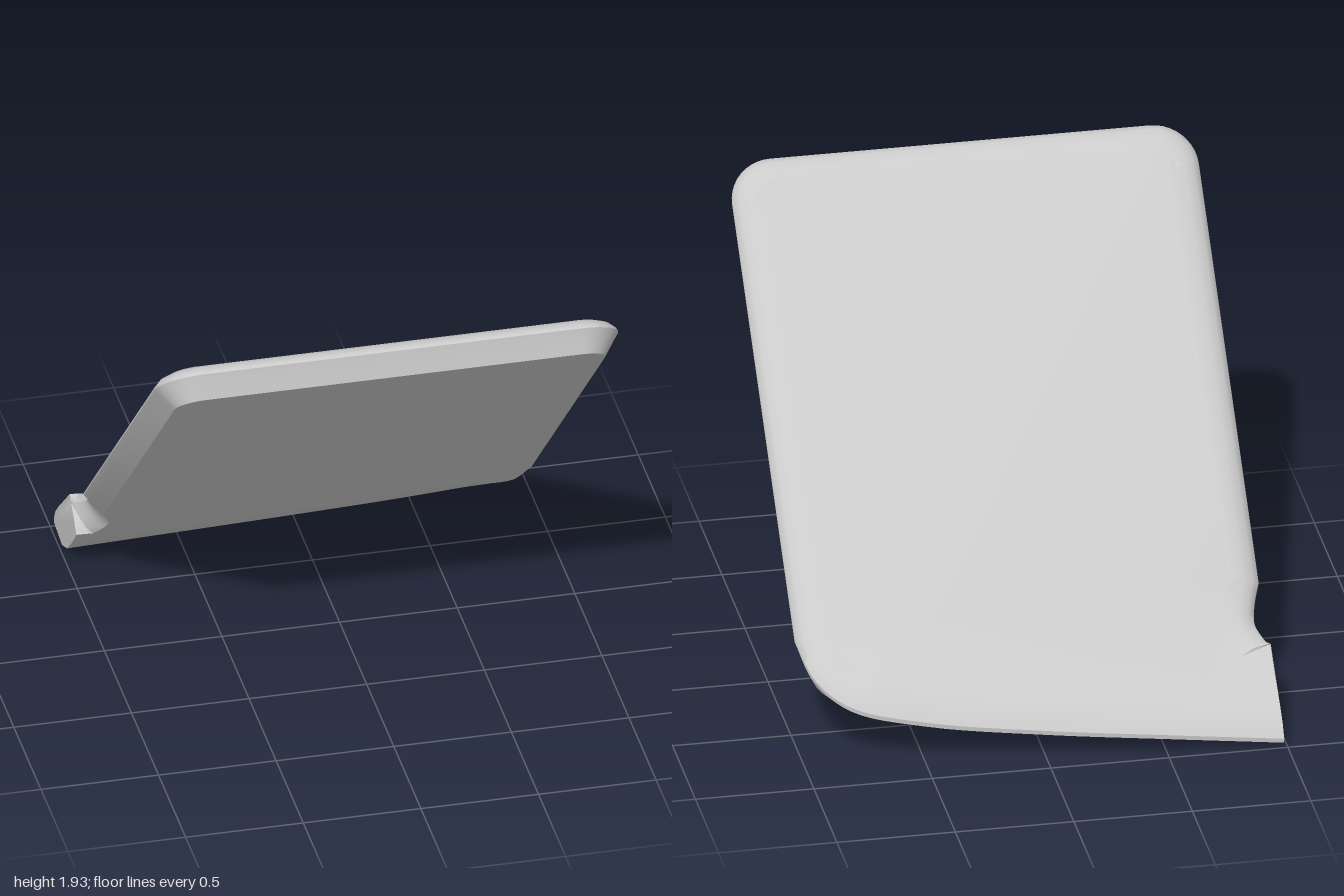
import * as THREE from 'three';
import { toCreasedNormals } from 'three/addons/utils/BufferGeometryUtils.js';

const HALF = 0.985, TOP = 1.87, R = 0.185;
const curve = (pts, n) =>
  new THREE.CatmullRomCurve3(pts.map(([x, y]) => new THREE.Vector3(x, y, 0)), false, 'centripetal')
    .getPoints(n).map(p => new THREE.Vector2(p.x, p.y));

// Rim outline, counter-clockwise: slanted bottom edge, sides, round top corners, side notch
function makeOutline() {
  const bottom = curve([[-HALF, -0.69], [-0.5, -0.63], [0, -0.566], [0.5, -0.484],
    [0.8, -0.39], [0.93, -0.25], [HALF, -0.05]], 36);
  const arc = (cx, a0) => Array.from({ length: 11 }, (_, i) => {
    const a = a0 + i / 10 * Math.PI / 2;
    return new THREE.Vector2(cx + R * Math.cos(a), TOP + R * Math.sin(a));
  });
  const notch = curve([[-HALF, 0.03], [-0.955, -0.06], [-0.94, -0.15], [-0.955, -0.2], [-HALF, -0.26]], 12);
  return { pts: [...bottom, ...arc(HALF - R, 0), ...arc(R - HALF, Math.PI / 2), ...notch], bottomCount: bottom.length };
}

// Edge profile from front to back: side inset, side depth, bottom inset, bottom depth
const PROFILE = [
  [0.07, 0.566, 0.30, 0.556],
  [0.045, 0.60, 0.19, 0.56],
  [0.02, 0.635, 0.09, 0.60],
  [0, 0.66, 0, 0.72],
  [0.004, 0.672, 0.012, 0.735],
  [0.03, 0.697, 0.07, 0.75],
  [0.07, 0.712, 0.15, 0.75],
  [0.13, 0.721, 0.30, 0.727],
];

function slabGeometry() {
  const { pts, bottomCount } = makeOutline();
  const n = pts.length;
  // inward direction at every rim point; the cut end wall stays flush
  const dirs = pts.map((p, i) => {
    if (i === 0) return new THREE.Vector2(0, 1);
    if (i === n - 1) return new THREE.Vector2(0, 0);
    const t = pts[(i + 1) % n].clone().sub(pts[i - 1]).normalize();
    return new THREE.Vector2(-t.y, t.x);
  });
  const lerp = THREE.MathUtils.lerp, smooth = THREE.MathUtils.smoothstep;
  const pos = [], idx = [], loops = [];
  for (const [si, sd, bi, bd] of PROFILE) {
    const loop = pts.map((p, i) => {
      const wInset = i < bottomCount ? 1 - smooth(p.y, -0.45, -0.25) : 0;
      const wDepth = 1 - smooth(p.y, -0.45, 0);
      const q = p.clone().addScaledVector(dirs[i], lerp(si, bi, wInset));
      pos.push(q.x, q.y, -lerp(sd, bd, wDepth));
      return q;
    });
    loops.push(loop);
  }
  for (let r = 0; r < PROFILE.length - 1; r++) {
    for (let i = 0; i < n; i++) {
      const a = r * n + i, b = r * n + (i + 1) % n;
      idx.push(a, a + n, b + n, a, b + n, b);
    }
  }
  // front and back faces
  const last = (PROFILE.length - 1) * n;
  for (const [a, b, c] of THREE.ShapeUtils.triangulateShape(loops[0], [])) idx.push(a, b, c);
  for (const [a, b, c] of THREE.ShapeUtils.triangulateShape(loops[PROFILE.length - 1], []))
    idx.push(last + a, last + c, last + b);
  const g = new THREE.BufferGeometry();
  g.setAttribute('position', new THREE.Float32BufferAttribute(pos, 3));
  g.setIndex(idx);
  return toCreasedNormals(g, 0.55);
}

export function createModel() {
  const model = new THREE.Group();
  model.name = 'tiltedPanel';
  const material = new THREE.MeshStandardMaterial({ color: 0xcccccc, side: THREE.DoubleSide });

  // Everything is built upright, then leaned 45 degrees
  const lean = new THREE.Group();
  lean.name = 'panel';
  lean.rotation.x = Math.PI / 4;
  model.add(lean);

  const slab = new THREE.Mesh(slabGeometry(), material);
  slab.name = 'slab';
  lean.add(slab);

  // Small curved marks near the two upper corners of the back
  for (const side of [1, -1]) {
    const start = side > 0 ? 0.1 : Math.PI / 2 + 0.1;
    const mark = new THREE.Mesh(new THREE.RingGeometry(0.078, 0.102, 10, 1, start, Math.PI / 2 - 0.2), material);
    mark.name = side > 0 ? 'leftCornerMark' : 'rightCornerMark';
    mark.position.set(side * 0.8, 1.84, -0.722);
    lean.add(mark);
  }
  return model;
}
